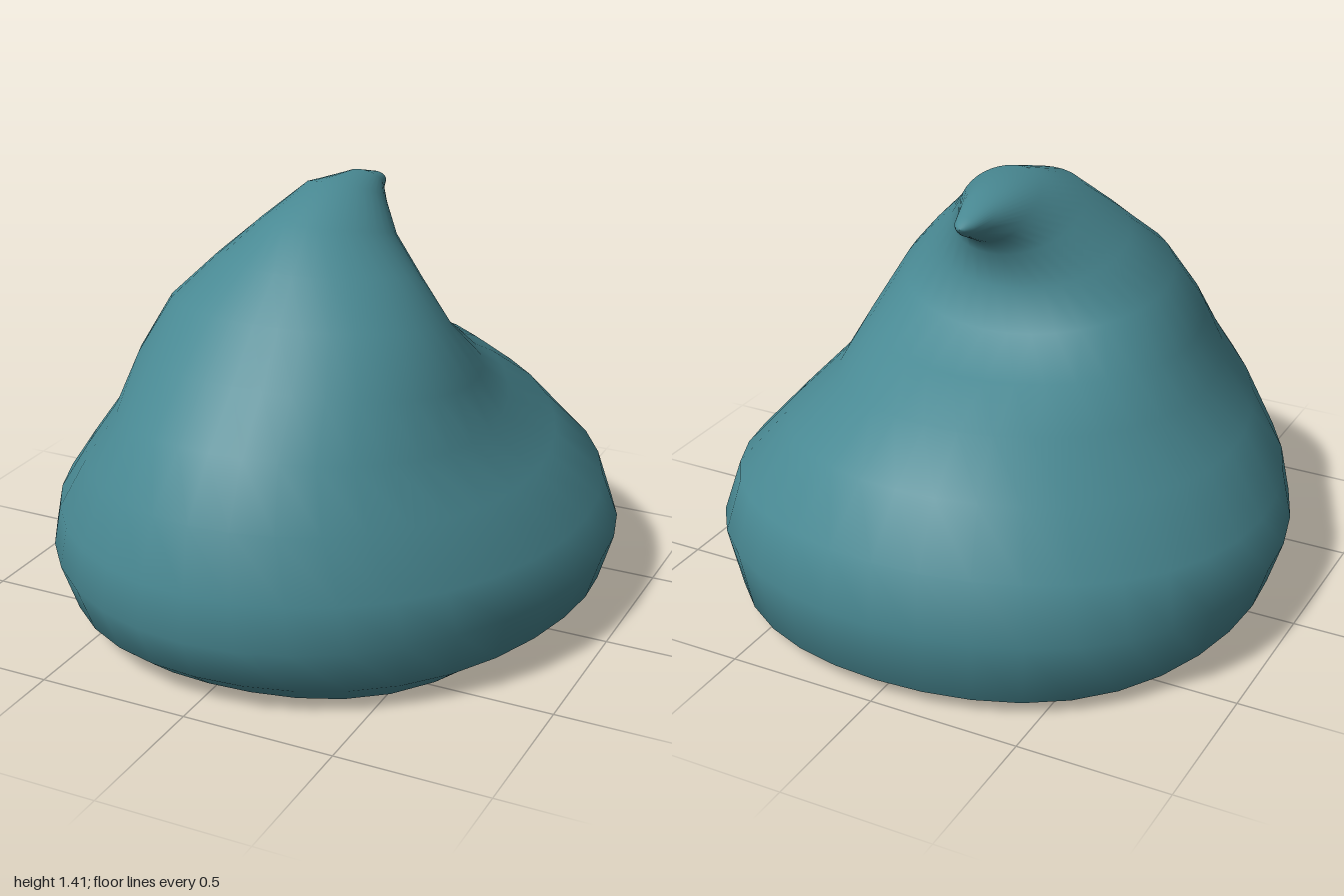
import * as THREE from 'three';

const SEG = 36;

// Each ring: front z, front y, back z, back y, half width, side z, side y
const RINGS = [
  [0.84, 0.03, -0.88, 0.035, 0.79, -0.1, 0.055],
  [0.93, 0.1, -0.965, 0.055, 0.89, -0.1, 0.09],
  [1.0, 0.25, -1.0, 0.27, 0.937, -0.1, 0.24],
  [0.985, 0.4, -0.965, 0.47, 0.89, -0.06, 0.39],
  [0.94, 0.61, -0.82, 0.65, 0.745, 0.02, 0.56],
  [0.81, 0.79, -0.64, 0.78, 0.615, 0.1, 0.71],
  [0.66, 0.95, -0.45, 0.865, 0.555, 0.13, 0.86],
  [0.52, 1.1, -0.25, 0.945, 0.46, 0.13, 1.03],
  [0.38, 1.22, -0.19, 1.07, 0.335, 0.06, 1.16],
  [0.24, 1.33, -0.215, 1.19, 0.215, -0.01, 1.27],
  [0.0, 1.41, -0.265, 1.245, 0.13, -0.14, 1.345],
  [-0.24, 1.395, -0.33, 1.28, 0.065, -0.28, 1.345],
  [-0.36, 1.36, -0.37, 1.3, 0.034, -0.37, 1.333],
  [-0.395, 1.345, -0.395, 1.32, 0.015, -0.397, 1.332],
  [-0.4, 1.332, -0.4, 1.332, 0, -0.4, 1.332],
];

// Quadratic through the front (c = 1), side (c = 0) and back (c = -1) values
const through = (f, s, b, c) => s + ((f - b) / 2) * c + ((f + b) / 2 - s) * c * c;

function ringPoint(i, j) {
  const [fz, fy, bz, by, w, sz, sy] = RINGS[i];
  const a = (j / SEG) * Math.PI * 2;
  const c = Math.cos(a);
  // the lower rim dips between the front, sides and back
  const dip = (i === 0 ? 0.042 : i === 1 ? 0.02 : 0) * Math.sin(2 * a) ** 2;
  return [w * Math.sin(a), through(fy, sy, by, c) - dip, through(fz, sz, bz, c)];
}

function buildGeometry(points, index) {
  const g = new THREE.BufferGeometry();
  g.setAttribute('position', new THREE.Float32BufferAttribute(points, 3));
  g.setIndex(index);
  g.computeVertexNormals();
  return g;
}

export function createModel() {
  const group = new THREE.Group();
  group.name = 'curledHat';
  const teal = new THREE.MeshStandardMaterial({ color: 0x498993 });
  teal.name = 'teal';

  // Soft body that narrows and curls backwards into a tip
  const points = [];
  const index = [];
  for (let i = 0; i < RINGS.length; i++) {
    for (let j = 0; j < SEG; j++) {
      points.push(...ringPoint(i, j));
      if (i === RINGS.length - 1) continue;
      const k = (j + 1) % SEG;
      const a = i * SEG + j, b = i * SEG + k;
      index.push(a, b, a + SEG);
      if (i < RINGS.length - 2) index.push(b, b + SEG, a + SEG);
    }
  }
  const body = new THREE.Mesh(buildGeometry(points, index), teal);
  body.name = 'body';
  group.add(body);

  // Slightly hollow underside closing the rim
  const capPoints = [0, 0.05, -0.05];
  const capIndex = [];
  for (let j = 0; j < SEG; j++) {
    capPoints.push(...ringPoint(0, j));
    capIndex.push(0, 1 + ((j + 1) % SEG), 1 + j);
  }
  const underside = new THREE.Mesh(buildGeometry(capPoints, capIndex), teal);
  underside.name = 'underside';
  group.add(underside);

  return group;
}
